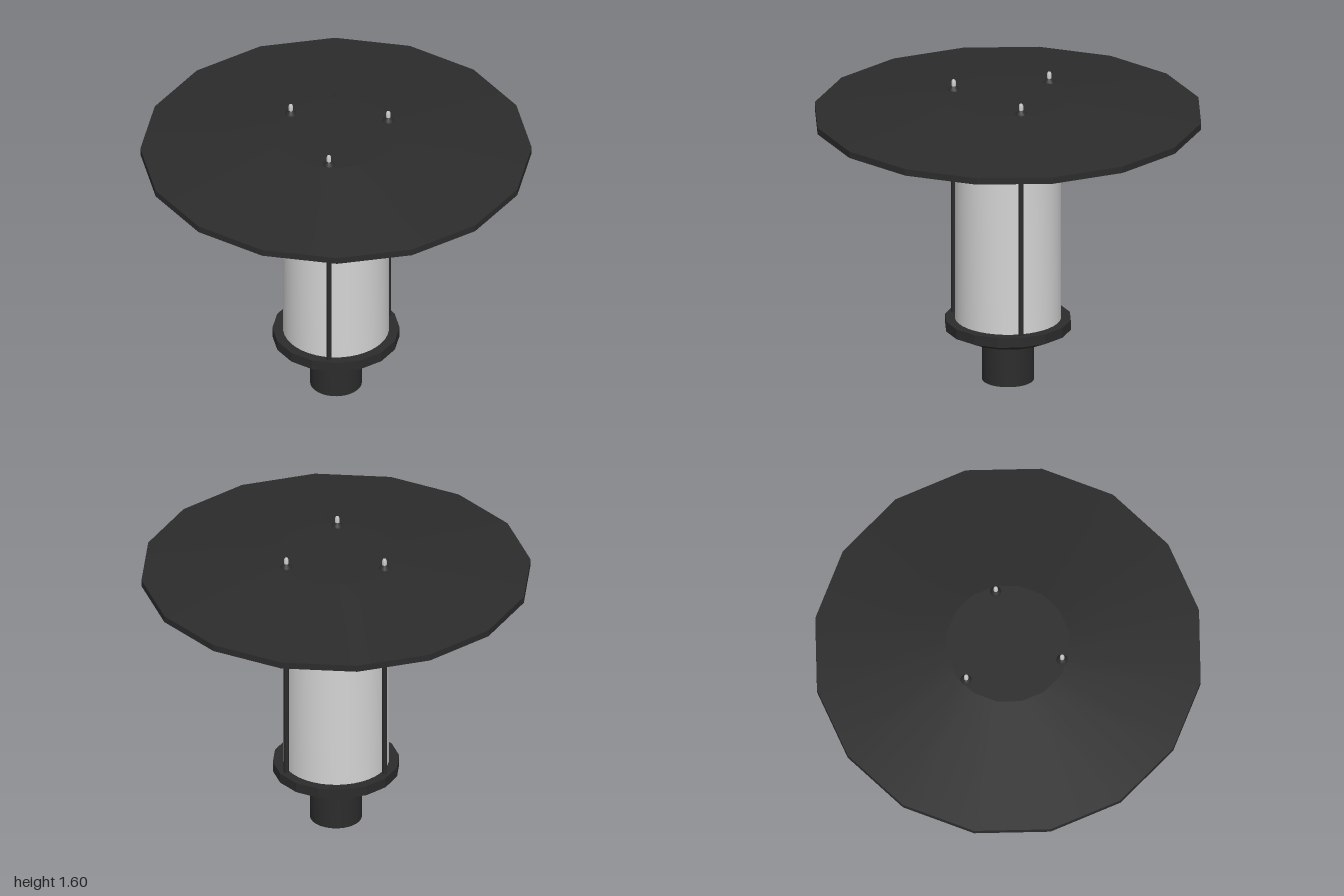
import * as THREE from 'three';
import { toCreasedNormals } from 'three/addons/utils/BufferGeometryUtils.js';

function material(name, color) {
  const m = new THREE.MeshStandardMaterial({ color });
  m.name = name;
  return m;
}

// Turned part from [radius, height] points, listed so the faces look outward
function turned(name, points, sides, mat, crease) {
  const geometry = new THREE.LatheGeometry(points.map(([r, y]) => new THREE.Vector2(r, y)), sides);
  const mesh = new THREE.Mesh(toCreasedNormals(geometry, crease), mat);
  mesh.name = name;
  return mesh;
}

export function createModel() {
  const black = material('blackMetal', 0x2c2c2c);
  const white = material('whiteReflector', 0xd8d8d8);
  const glass = material('frostedGlass', 0xd4d4d4);
  const steel = material('steel', 0xc4c4c4);
  const FLAT = 0.1, SMOOTH = 0.45;

  const lamp = new THREE.Group();
  lamp.name = 'postLamp';

  // Post socket and the flared tray on top of it
  lamp.add(
    turned('socket', [[0, 0], [0.133, 0], [0.133, 0.215]], 32, black, SMOOTH),
    turned('baseTray', [[0, 0.21], [0.13, 0.21], [0.23, 0.238], [0.325, 0.282],
      [0.325, 0.335], [0, 0.335]], 16, black, FLAT)
  );

  // Glass cylinder between the tray and the upper collar
  lamp.add(
    turned('glassCylinder', [[0.272, 0.33], [0.272, 1.49]], 40, glass, SMOOTH),
    turned('upperCollar', [[0, 1.48], [0.325, 1.48], [0.325, 1.52], [0, 1.52]], 16, black, FLAT)
  );

  // Sixteen-sided hood with a pale underside
  lamp.add(
    turned('hood', [[0.985, 1.41], [1, 1.41], [1, 1.445], [0.32, 1.537], [0, 1.537]], 16, black, FLAT),
    turned('hoodUnderside', [[0, 1.522], [0.31, 1.522], [0.985, 1.432], [0.985, 1.41]], 16, white, FLAT)
  );

  // Three tie rods with domed nuts and bare steel ends
  for (let i = 0; i < 3; i++) {
    const angle = (i * Math.PI * 2) / 3;
    const tie = new THREE.Group();
    tie.name = 'tieRod' + (i + 1);
    tie.position.set(0.29 * Math.cos(angle), 0, 0.29 * Math.sin(angle));
    tie.add(
      turned('rod', [[0.013, 0.33], [0.013, 1.535]], 12, black, 0.7),
      turned('nut', [[0.03, 1.535], [0.027, 1.545], [0.013, 1.56], [0, 1.56]], 12, black, 0.7),
      turned('rodEnd', [[0.012, 1.555], [0.012, 1.584], [0.008, 1.593], [0, 1.596]], 12, steel, 0.7)
    );
    lamp.add(tie);
  }

  return lamp;
}
